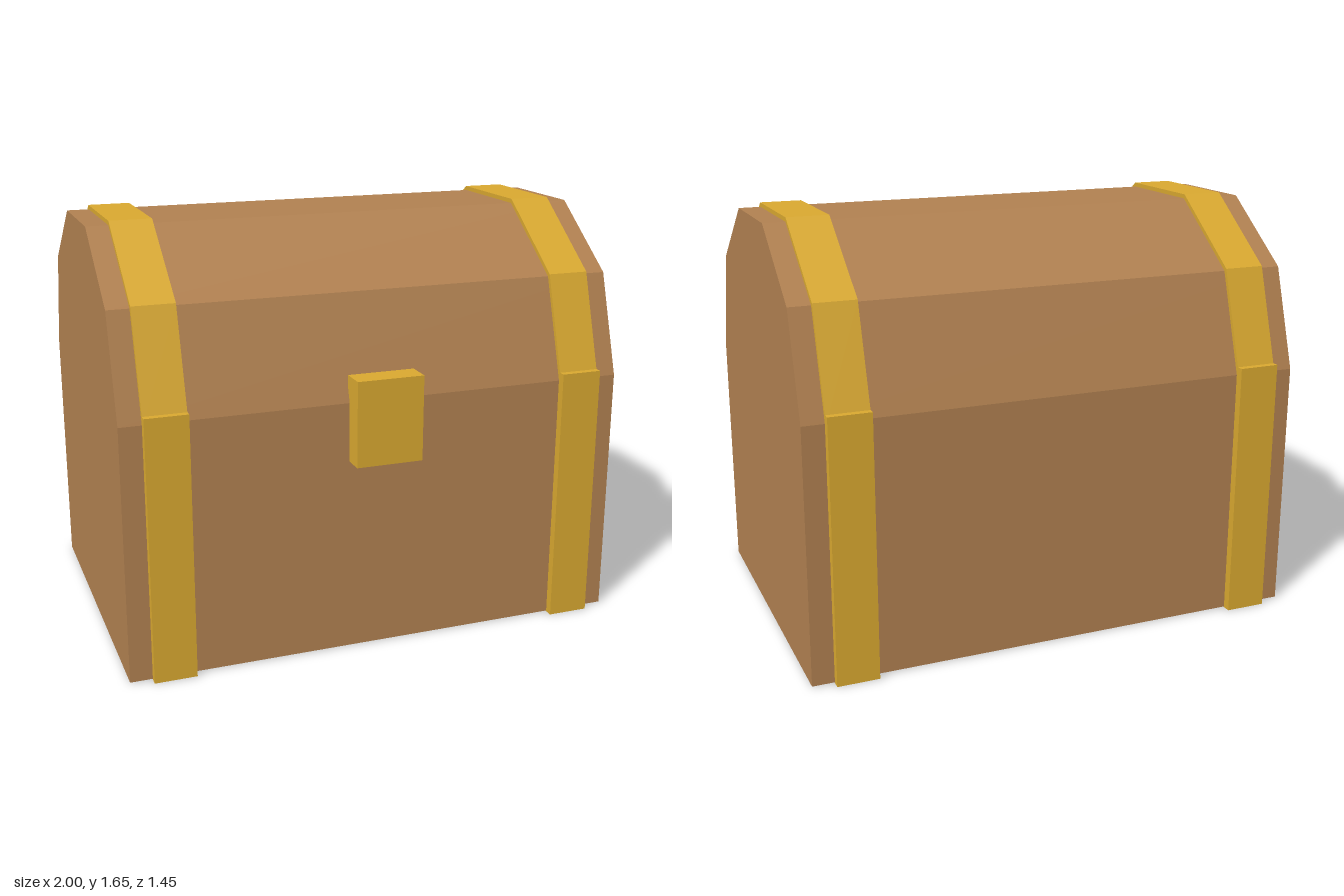
import * as THREE from 'three';

const wood = new THREE.MeshStandardMaterial({ color: 0xb08050, flatShading: true });
const gold = new THREE.MeshStandardMaterial({ color: 0xd8a830, flatShading: true });
const CENTRE_Z = -0.025;

// Extrudes a symmetric profile of [half depth, height] points across x.
function slab(name, half, width, x, material) {
  const outline = [...half, ...half.map(([z, y]) => [-z, y]).reverse()];
  const shape = new THREE.Shape(outline.map(([z, y]) => new THREE.Vector2(z, y)));
  const geometry = new THREE.ExtrudeGeometry(shape, { depth: width, bevelEnabled: false });
  geometry.translate(0, 0, -width / 2).rotateY(-Math.PI / 2);
  const mesh = new THREE.Mesh(geometry, material);
  mesh.name = name;
  mesh.position.set(x, 0, CENTRE_Z);
  return mesh;
}

function box(name, w, h, d, x, y, z, material) {
  const mesh = new THREE.Mesh(new THREE.BoxGeometry(w, h, d), material);
  mesh.name = name;
  mesh.position.set(x, y, z);
  return mesh;
}

export function createModel() {
  const chest = new THREE.Group();
  chest.name = 'treasureChest';

  // Wooden base and faceted lid; the base sits a hair above the strap bottoms
  chest.add(slab('base', [[0.667, 0.003], [0.667, 1]], 2, 0, wood));
  chest.add(slab('lid', [[0.667, 1], [0.54, 1.393], [0.208, 1.636]], 2, 0, wood));

  // A pair of metal straps: a thick lower band and a thin band over the lid
  for (const [side, s] of [['left', 1], ['right', -1]]) {
    const strap = new THREE.Group();
    strap.name = side + 'Strap';
    const x = s * 0.832;
    strap.add(box('lowerBand', 0.164, 1.033, 1.4, x, 0.5165, CENTRE_Z, gold));
    strap.add(slab('lidBand', [[0.683, 1], [0.553, 1.403], [0.212, 1.653]], 0.164, x, gold));
    chest.add(strap);
  }

  // Latch plate
  chest.add(box('latch', 0.264, 0.333, 0.1, 0, 0.937, 0.674, gold));
  return chest;
}
